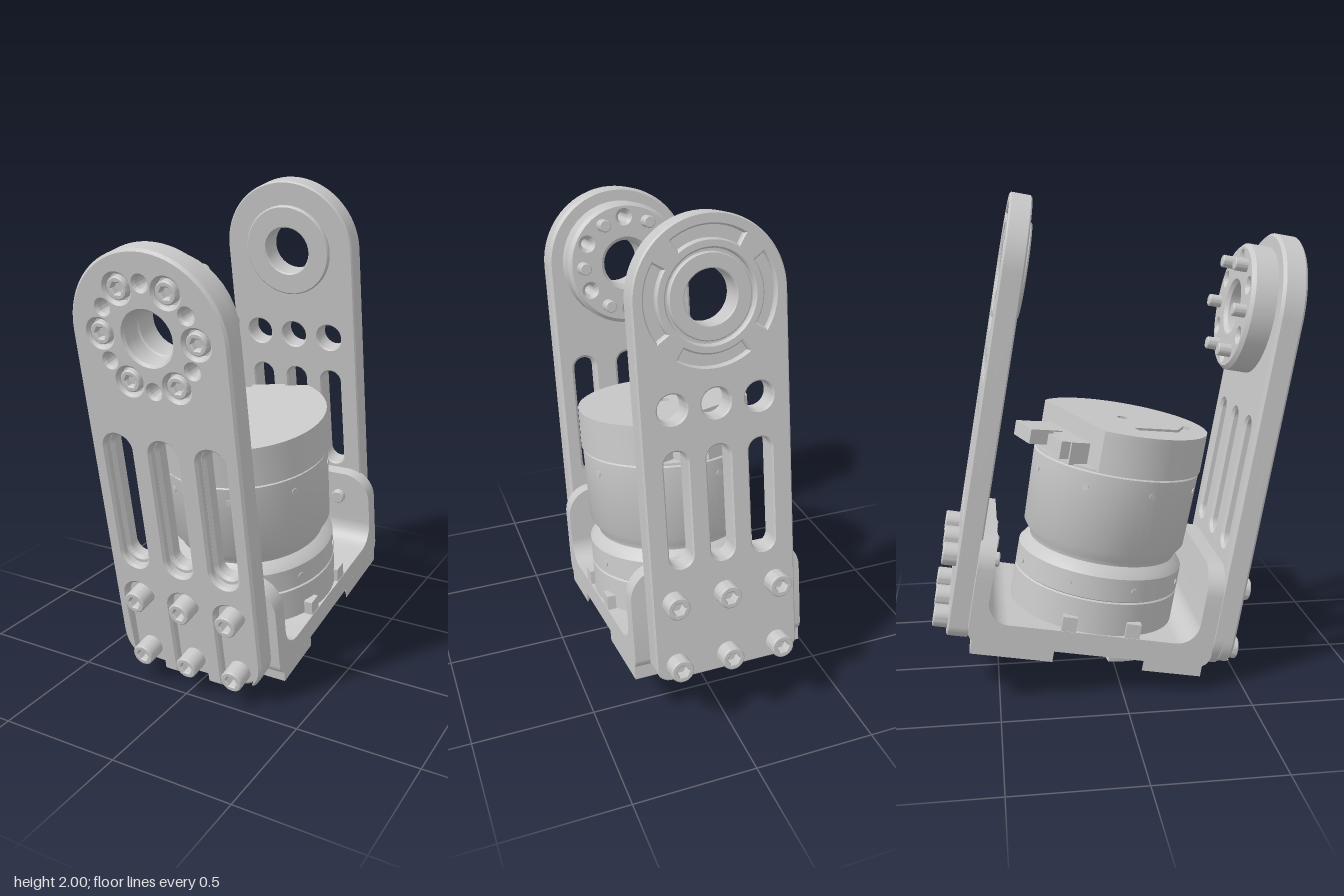
import * as THREE from 'three';
import { toCreasedNormals } from 'three/addons/utils/BufferGeometryUtils.js';

const PI = Math.PI;
const metal = new THREE.MeshStandardMaterial({ color: 0xc8c8c8 });
metal.name = 'light grey metal';

const COLUMNS = [-0.21, 0, 0.21];   // screw and slot columns
const ROWS = [0.2, 0.465];          // screw rows
const HUB_Y = 1.605;                // pivot height
const MOTOR_Z = -0.14;

export function createModel() {
  const model = new THREE.Group();
  const body = new THREE.Group();
  body.name = 'tiltedBracketAssembly';
  body.rotation.x = PI / 18;
  model.add(body);

  const add = (name, geo, x = 0, y = 0, z = 0) => {
    const mesh = new THREE.Mesh(toCreasedNormals(geo, 0.6), metal);
    mesh.name = name;
    mesh.position.set(x, y, z);
    body.add(mesh);
    return mesh;
  };
  const extrude = (shape, depth, bevel = 0) => new THREE.ExtrudeGeometry(shape, {
    depth: depth - 2 * bevel, curveSegments: 20, bevelEnabled: bevel > 0,
    bevelThickness: bevel, bevelSize: bevel, bevelOffset: -bevel, bevelSegments: 1,
  }).translate(0, 0, bevel);
  // plate facing z, between z0 and z1
  const plate = (name, shape, z0, z1, bevel) => add(name, extrude(shape, z1 - z0, bevel), 0, 0, z0);
  // plate lying flat, shape y runs towards -z
  const slab = (name, shape, y0, y1, z = 0, bevel = 0) =>
    add(name, extrude(shape, y1 - y0, bevel).rotateX(-PI / 2), 0, y0, z);

  // Shapes and holes
  const disc = (x, y, r, holeR = 0) => {
    const s = new THREE.Shape().absarc(x, y, r, 0, 2 * PI);
    if (holeR) s.holes.push(disc(x, y, holeR));
    return s;
  };
  const slot = (x, y0, y1, r) => new THREE.Shape()
    .absarc(x, y1 - r, r, 0, PI).absarc(x, y0 + r, r, PI, 2 * PI);
  const arcBand = (x, y, r0, r1, a0, a1) => new THREE.Shape()
    .absarc(x, y, r1, a0, a1).absarc(x, y, r0, a1, a0, true);
  const arch = (w, y0, yc, r) => new THREE.Shape()
    .absarc(-w + r, y0 + r, r, PI, 1.5 * PI)
    .absarc(w - r, y0 + r, r, 1.5 * PI, 2 * PI)
    .absarc(0, yc, w, 0, PI);
  const ring6 = (r, offset, fn) => {
    for (let i = 0; i < 6; i++) {
      const a = offset + i * PI / 3;
      fn(r * Math.cos(a), HUB_Y + r * Math.sin(a));
    }
  };

  // Socket-head screw along z; dir is the way its head points
  const screw = (x, y, z, dir, h, r = 0.046) => {
    const head = disc(0, 0, r);
    const hex = new THREE.Path();
    for (let i = 0; i < 6; i++) {
      const a = i * PI / 3;
      hex[i ? 'lineTo' : 'moveTo'](r * 0.52 * Math.cos(a), r * 0.52 * Math.sin(a));
    }
    hex.closePath();
    head.holes.push(hex);
    const turn = dir < 0 ? PI : 0;
    add('screwHead', extrude(head, h, 0.005), x, y, z).rotation.y = turn;
    add('screwCore', extrude(disc(0, 0, r * 0.8), h * 0.45), x, y, z).rotation.y = turn;
  };

  // Front arm plate: inner layer, overlapping the outer one so the seam is flush
  const inner = arch(0.325, 0.12, 1.6, 0.15);
  inner.holes.push(disc(0, HUB_Y, 0.1));
  COLUMNS.forEach(x => inner.holes.push(slot(x * 0.97, 0.64, 1.185, 0.047)));
  ring6(0.2, PI / 6, (x, y) => inner.holes.push(disc(x, y, 0.025)));
  plate('frontPlateInner', inner, 0.33, 0.396, 0.012);

  // Front arm plate: outer layer with open screw channels and counterbores
  const outer = new THREE.Shape();
  outer.moveTo(-0.14, 0.12);
  outer.lineTo(-0.07, 0.12);
  outer.absarc(0, 0.46, 0.07, PI, 0, true);
  outer.lineTo(0.07, 0.12);
  outer.lineTo(0.14, 0.12);
  outer.absarc(0.21, 0.46, 0.07, PI, 0, true);
  outer.lineTo(0.28, 0.163);
  outer.quadraticCurveTo(0.325, 0.2, 0.325, 0.27);
  outer.absarc(0, 1.6, 0.325, 0, PI);
  outer.lineTo(-0.325, 0.27);
  outer.quadraticCurveTo(-0.325, 0.2, -0.28, 0.163);
  outer.absarc(-0.21, 0.46, 0.07, PI, 0, true);
  outer.closePath();
  outer.holes.push(disc(0, HUB_Y, 0.1));
  COLUMNS.forEach(x => outer.holes.push(slot(x * 0.97, 0.615, 1.2, 0.06)));
  ring6(0.2, 0, (x, y) => outer.holes.push(disc(x, y, 0.052)));
  ring6(0.2, PI / 6, (x, y) => outer.holes.push(disc(x, y, 0.025)));
  plate('frontPlateOuter', outer, 0.372, 0.43, 0.01);

  // Pivot hub with screws and pins
  const hub = disc(0, HUB_Y, 0.262, 0.1);
  ring6(0.2, PI / 6, (x, y) => hub.holes.push(disc(x, y, 0.022)));
  plate('pivotHub', hub, 0.225, 0.345, 0.015);
  ring6(0.2, 0, (x, y) => {
    screw(x, y, 0.385, 1, 0.045, 0.043);
    plate('hubPin', disc(x, y, 0.026), 0.172, 0.24, 0.004);
  });

  // Back arm plate: solid layer, recessed outer layer, bearing rings
  const backLayer = () => {
    const s = arch(0.295, 0.135, HUB_Y, 0.06);
    COLUMNS.forEach(x => {
      s.holes.push(slot(x * 0.8, 0.6, 1.06, 0.047));
      s.holes.push(disc(x * 0.81, 1.22, 0.056));
    });
    return s;
  };
  const backInner = backLayer();
  backInner.holes.push(disc(0, HUB_Y, 0.1));
  plate('backPlateInner', backInner, -0.722, -0.657, 0.006);
  const backOuter = backLayer();
  backOuter.holes.push(disc(0, HUB_Y, 0.17));
  for (let i = 0; i < 4; i++) {
    const a = i * PI / 2;
    backOuter.holes.push(arcBand(0, HUB_Y, 0.205, 0.25, a - 0.58, a + 0.58));
  }
  plate('backPlateOuter', backOuter, -0.745, -0.7, 0.006);
  plate('bearingRing', disc(0, HUB_Y, 0.158, 0.1), -0.742, -0.7, 0.004);
  plate('bearingDisc', disc(0, HUB_Y, 0.195, 0.1), -0.67, -0.641, 0.006);

  // Screws fixing both plates, with nubs inside the bracket
  for (const x of COLUMNS) for (const y of ROWS) {
    screw(x, y, 0.385, 1, 0.09);
    screw(x, y, -0.74, -1, 0.065);
    if (y > 0.3) plate('screwTip', disc(x, y, 0.03), -0.61, -0.575, 0.004);
  }

  // U bracket: bent channel across the width
  const channel = new THREE.Shape();
  channel.moveTo(0.33, 0.41);
  channel.lineTo(0.26, 0.41);
  channel.absarc(0.17, 0.34, 0.09, 0, -PI / 2, true);
  channel.absarc(-0.51, 0.34, 0.09, -PI / 2, -PI, true);
  channel.lineTo(-0.6, 0.41);
  channel.lineTo(-0.665, 0.41);
  channel.absarc(-0.615, 0.21, 0.05, PI, 1.5 * PI);
  channel.absarc(0.28, 0.21, 0.05, 1.5 * PI, 2 * PI);
  channel.closePath();
  add('bracketChannel', extrude(channel, 0.71).rotateY(-PI / 2), 0.355);

  // Bracket arm tops with rounded corners
  const tab = new THREE.Shape();
  tab.moveTo(-0.355, 0.41);
  tab.lineTo(0.355, 0.41);
  tab.absarc(0.235, 0.46, 0.12, 0, PI / 2);
  tab.absarc(-0.235, 0.46, 0.12, PI / 2, PI);
  tab.closePath();
  plate('bracketFrontTab', tab, 0.26, 0.33);
  plate('bracketBackTab', tab, -0.665, -0.6);

  // Bracket feet cut by a round recess
  const foot = (edge, side) => {
    const s = new THREE.Shape(), a = 0.478;
    s.moveTo(-0.355 * side, edge);
    s.lineTo(0.355 * side, edge);
    s.absarc(0, 0.13, 0.4, side > 0 ? -a : PI - a, side > 0 ? a - PI : a, true);
    s.closePath();
    return s;
  };
  slab('bracketFrontFoot', foot(-0.3, 1), 0.118, 0.165);
  slab('bracketBackFoot', foot(0.645, -1), 0.115, 0.18);

  // Output flange under the floor
  const flange = disc(0, 0, 0.27, 0.035);
  for (let i = 0; i < 8; i++) {
    const a = (i + 0.5) * PI / 4;
    flange.holes.push(disc(0.13 * Math.cos(a), 0.13 * Math.sin(a), 0.02));
  }
  slab('outputFlange', flange, 0.135, 0.165, MOTOR_Z, 0.006);
  slab('flangeLip', arcBand(0, 0, 0.31, 0.345, PI * 1.05, PI * 1.95), 0.135, 0.165, MOTOR_Z);
  add('flangeCentreScrew', new THREE.CylinderGeometry(0.025, 0.025, 0.06, 12), 0, 0.135, MOTOR_Z);
  for (let i = 0; i < 6; i++) {
    const a = i * PI / 3;
    add('flangeScrew', new THREE.CylinderGeometry(0.022, 0.022, 0.03, 12),
      0.21 * Math.cos(a), 0.14, MOTOR_Z + 0.21 * Math.sin(a));
  }
  add('undersideBlock', new THREE.BoxGeometry(0.1, 0.12, 0.085), 0, 0.1, 0.19);

  // Motor housing
  const profile = [[0, 0.24], [0.35, 0.24], [0.35, 0.385], [0.343, 0.39], [0.35, 0.395],
    [0.35, 0.49], [0.335, 0.51], [0.31, 0.53], [0.315, 0.55], [0.343, 0.59],
    [0.35, 0.9], [0.343, 0.905], [0.343, 0.915], [0, 0.915]];
  add('motorHousing', new THREE.LatheGeometry(
    profile.map(p => new THREE.Vector2(...p)), 64), 0, 0, MOTOR_Z);
  for (let i = 0; i < 8; i++) {
    const a = (i + 0.4) * PI / 4;
    for (const [y, r] of [[0.44, 0.35], [0.84, 0.348]]) {
      const dot = add('housingScrew', new THREE.CylinderGeometry(0.014, 0.014, 0.008, 10).rotateX(PI / 2),
        r * Math.sin(a), y, MOTOR_Z + r * Math.cos(a));
      dot.rotation.y = a;
    }
  }

  // Motor cap with one flat side and an engraved angle mark
  const deg = PI / 180;
  const cap = () => new THREE.Shape().absarc(0, 0, 0.355, 160 * deg, 425 * deg);
  slab('motorCap', cap(), 0.91, 1.062, MOTOR_Z);
  const capTop = cap();
  const mark = [[-0.22, -0.03], [-0.135, -0.245], [-0.005, -0.29], [0.01, -0.262],
    [-0.1, -0.215], [-0.185, -0.015]];
  capTop.holes.push(new THREE.Path(mark.map(p => new THREE.Vector2(...p))));
  capTop.holes.push(disc(0, 0, 0.028));
  slab('motorCapTop', capTop, 1.062, 1.075, MOTOR_Z);

  // Cable connector on the flat side
  for (const [name, w, h, y, near, far, side] of [
    ['connectorHousing', 0.34, 0.09, 0.955, 0.22, 0.32, 0],
    ['connectorPlug', 0.15, 0.06, 0.975, 0.28, 0.42, 0.07],
    ['connectorSocket', 0.12, 0.07, 0.965, 0.28, 0.36, -0.1]]) {
    const box = new THREE.BoxGeometry(w, h, far - near).translate(side, 0, -(near + far) / 2);
    add(name, box, 0, y, MOTOR_Z).rotation.y = 22 * deg;
  }

  // Small clips along the floor edges
  for (const x of [-0.335, 0.335]) for (const z of [-0.27, -0.01]) {
    add('floorClip', new THREE.BoxGeometry(0.036, 0.07, 0.06), x, 0.275, z);
  }
  return model;
}
